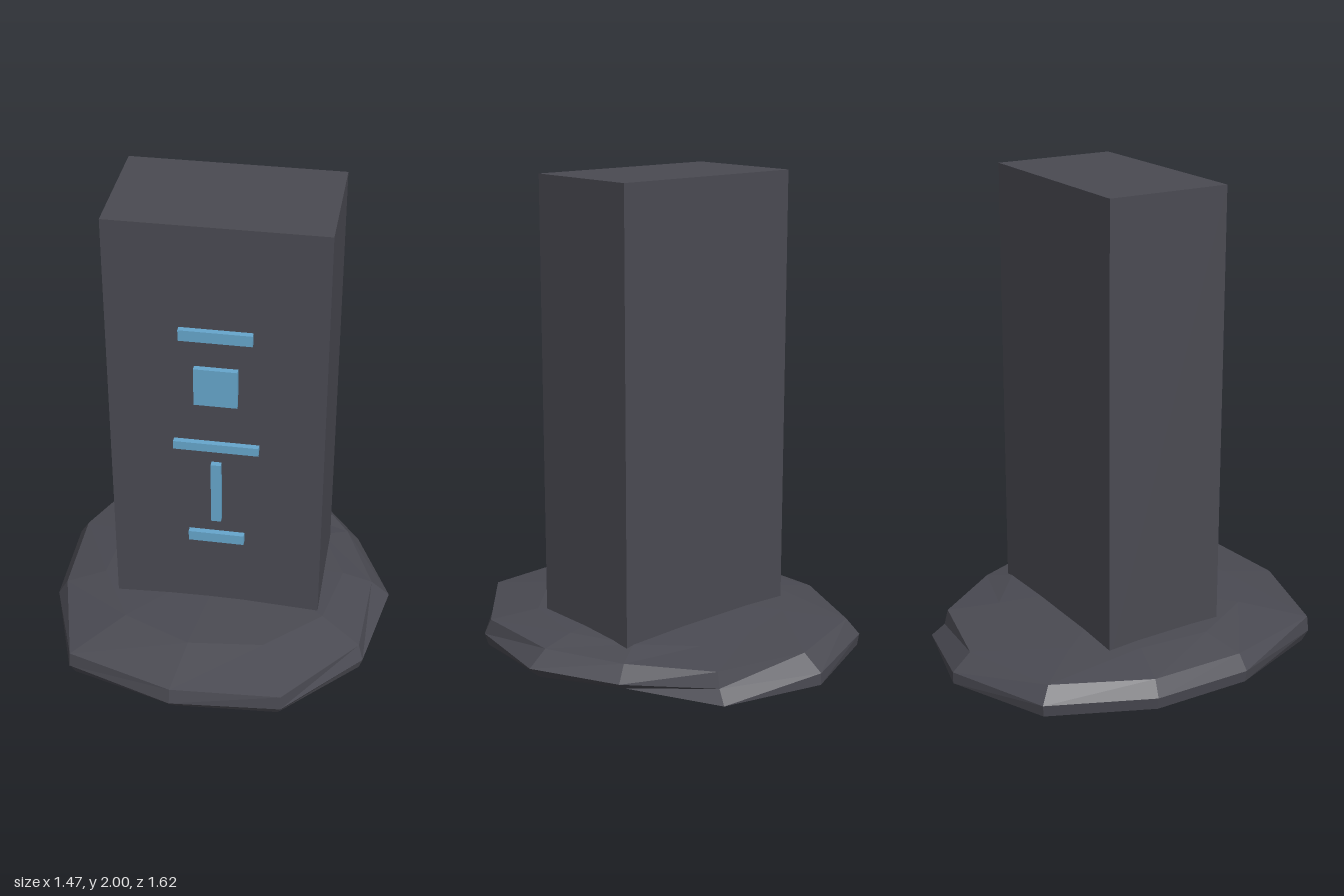
import * as THREE from 'three';

export function createModel() {
  const model = new THREE.Group();
  const stone = new THREE.MeshStandardMaterial({ color: 0x4a4a52, flatShading: true });
  stone.name = 'dark stone';
  const glow = new THREE.MeshStandardMaterial({ color: 0x66a6cc, flatShading: true });
  glow.name = 'pale blue';

  function box(name, material, x0, x1, y0, y1, z0, z1) {
    const mesh = new THREE.Mesh(new THREE.BoxGeometry(x1 - x0, y1 - y0, z1 - z0), material);
    mesh.position.set((x0 + x1) / 2, (y0 + y1) / 2, (z0 + z1) / 2);
    mesh.name = name;
    model.add(mesh);
  }

  // Irregular eleven-sided rock base: [x, z] corners of each level
  const rim = [[0.73, 0], [0.65, 0.43], [0.34, 0.77], [-0.12, 0.81], [-0.58, 0.66], [-0.735, 0.22],
    [-0.735, -0.21], [-0.55, -0.63], [-0.12, -0.81], [0.29, -0.65], [0.56, -0.36]];
  const shoulder = [[0.65, 0], [0.63, 0.41], [0.34, 0.765], [-0.12, 0.795], [-0.575, 0.655], [-0.695, 0.21],
    [-0.695, -0.2], [-0.515, -0.585], [-0.11, -0.725], [0.285, -0.635], [0.51, -0.33]];
  const scale = (ring, factors) => ring.map(([x, z], i) => [x * factors[i], z * factors[i]]);
  const foot = scale(rim, [0.93, 0.98, 0.96, 0.95, 0.97, 0.99, 0.99, 0.99, 1, 1.08, 0.88]);
  const crown = scale(shoulder, [0.8, 0.73, 0.68, 0.7, 0.66, 0.76, 0.72, 0.65, 0.62, 0.68, 0.78]);
  const crownY = [0.15, 0.155, 0.16, 0.16, 0.16, 0.155, 0.15, 0.14, 0.132, 0.135, 0.145];
  const levels = [
    foot.map(([x, z]) => [x, 0, z]),
    rim.map(([x, z]) => [x, 0.05, z]),
    shoulder.map(([x, z]) => [x, 0.115, z]),
    crown.map(([x, z], i) => [x, crownY[i], z])
  ];
  const points = [];
  const tri = (...corners) => corners.forEach(c => points.push(...c));
  const n = rim.length;
  for (let i = 0; i < n; i++) {
    const j = (i + 1) % n;
    for (let k = 0; k < levels.length - 1; k++) {
      const low = levels[k], high = levels[k + 1];
      tri(low[i], high[i], low[j]);
      tri(low[j], high[i], high[j]);
    }
    tri([0, 0.185, 0.05], levels[3][j], levels[3][i]);
    tri([0, 0, 0], levels[0][i], levels[0][j]);
  }
  const rock = new THREE.BufferGeometry();
  rock.setAttribute('position', new THREE.Float32BufferAttribute(points, 3));
  rock.computeVertexNormals();
  const base = new THREE.Mesh(rock, stone);
  base.name = 'rockBase';
  model.add(base);

  // Upright slab
  box('pillar', stone, -0.445, 0.435, 0.1, 2, -0.26, 0.27);

  // Raised marks on the front: half width, bottom, top
  [[0.147, 1.507, 1.555], [0.088, 1.21, 1.38], [0.175, 0.982, 1.02], [0.021, 0.622, 0.915], [0.117, 0.507, 0.553]]
    .forEach(([w, y0, y1], i) => box('frontMark' + (i + 1), glow, -0.005 - w, -0.005 + w, y0, y1, 0.265, 0.295));

  return model;
}
